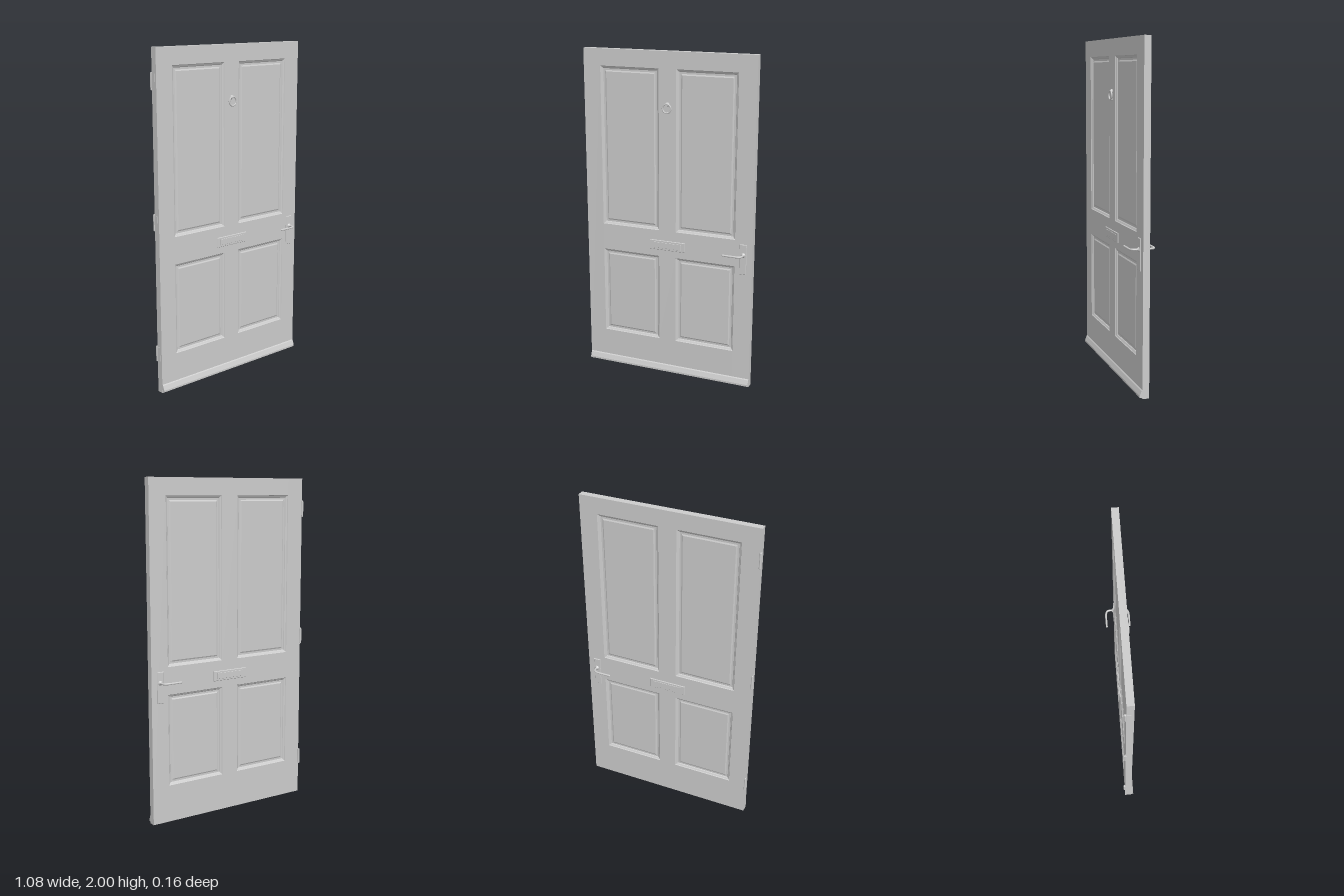
import * as THREE from 'three';

const T = 0.02;            // half thickness of the door
const W = 0.535;           // half width of the door
const mat = new THREE.MeshStandardMaterial({ color: 0xcccccc });
const flat = new THREE.MeshStandardMaterial({ color: 0xcccccc, flatShading: true });

function add(parent, name, geometry, material = flat, x = 0, y = 0, z = 0) {
  const mesh = new THREE.Mesh(geometry, material);
  mesh.name = name;
  mesh.position.set(x, y, z);
  parent.add(mesh);
  return mesh;
}

// Box given by its x and y limits, centred on a depth
function slab(parent, name, x0, x1, y0, y1, depth = 2 * T, z = 0) {
  return add(parent, name, new THREE.BoxGeometry(x1 - x0, y1 - y0, depth), flat, (x0 + x1) / 2, (y0 + y1) / 2, z);
}

// One face of a moulded panel: nested rectangles [inset, z], the last one filled
function panelFace(w, h) {
  const rings = [[0, T], [0.003, T - 0.004], [0.012, T - 0.009], [0.015, T - 0.013], [0.026, T - 0.013], [0.034, T - 0.009]];
  const pos = [], index = [];
  for (const [inset, z] of rings) {
    const a = w / 2 - inset, b = h / 2 - inset;
    pos.push(-a, -b, z, a, -b, z, a, b, z, -a, b, z);
  }
  for (let r = 0; r < rings.length - 1; r++) {
    for (let i = 0; i < 4; i++) {
      const a = r * 4 + i, b = r * 4 + (i + 1) % 4;
      index.push(a, b, b + 4, a, b + 4, a + 4);
    }
  }
  const k = (rings.length - 1) * 4;
  index.push(k, k + 1, k + 2, k, k + 2, k + 3);
  const g = new THREE.BufferGeometry();
  g.setAttribute('position', new THREE.Float32BufferAttribute(pos, 3));
  g.setIndex(index);
  const out = g.toNonIndexed();
  out.computeVertexNormals();
  return out;
}

// Plate with bevelled edges, lying on z = 0
function plate(w, h, depth) {
  const b = depth / 2;
  const s = new THREE.Shape();
  const x = w / 2 - b, y = h / 2 - b;
  s.moveTo(-x, -y).lineTo(x, -y).lineTo(x, y).lineTo(-x, y).closePath();
  const g = new THREE.ExtrudeGeometry(s, { depth: b, bevelThickness: b, bevelSize: b, bevelSegments: 1 });
  return g.translate(0, 0, 0);
}

// Lever handle with back plate, for the front side
function leverHandle() {
  const g = new THREE.Group();
  add(g, 'handlePlate', plate(0.044, 0.185, 0.005), flat, 0.478, 0.817, T);
  const rose = new THREE.LatheGeometry([[0.014, 0], [0.014, 0.003], [0.009, 0.007], [0.006, 0.012]]
    .map(p => new THREE.Vector2(...p)), 20).rotateX(Math.PI / 2);
  add(g, 'handleRose', rose, mat, 0.48, 0.845, T + 0.004);
  const path = new THREE.CatmullRomCurve3([
    [0.48, 0.845, T], [0.481, 0.845, 0.045], [0.476, 0.845, 0.062], [0.458, 0.845, 0.071],
    [0.42, 0.845, 0.0725], [0.37, 0.845, 0.072]].map(p => new THREE.Vector3(...p)));
  add(g, 'handleLever', new THREE.TubeGeometry(path, 32, 0.006, 12), mat);
  add(g, 'handleTip', new THREE.SphereGeometry(0.006, 12, 8), mat, 0.37, 0.845, 0.072);
  return g;
}

// Letter plate with a hinged flap
function letterPlate() {
  const g = new THREE.Group();
  add(g, 'letterPlate', plate(0.23, 0.06, 0.005), flat, 0, 0.84, T);
  add(g, 'letterFlap', plate(0.18, 0.036, 0.002), flat, 0, 0.84, T + 0.005);
  return g;
}

export function createModel() {
  const door = new THREE.Group();
  door.name = 'door';

  // Frame of stiles, rails and centre muntins
  slab(door, 'hingeStile', -W, -0.427, 0, 2);
  slab(door, 'lockStile', 0.427, W, 0, 2);
  for (const [name, y0, y1] of [['bottomRail', 0, 0.222], ['middleRail', 0.768, 0.932], ['topRail', 1.9, 2]]) {
    slab(door, name, -0.427, 0.427, y0, y1);
  }
  slab(door, 'lowerMuntin', -0.054, 0.054, 0.222, 0.768);
  slab(door, 'upperMuntin', -0.054, 0.054, 0.932, 1.9);

  // Four panels, each moulded on both faces
  for (const [name, y0, y1] of [['lowerPanel', 0.222, 0.768], ['upperPanel', 0.932, 1.9]]) {
    const face = panelFace(0.373, y1 - y0);
    for (const x of [-0.2405, 0.2405]) {
      add(door, name + 'Front', face, flat, x, (y0 + y1) / 2);
      add(door, name + 'Back', face, flat, x, (y0 + y1) / 2).rotation.y = Math.PI;
    }
  }

  // Handles and letter plates; the back handle keeps the same x
  for (const [side, turn] of [['front', 0], ['back', Math.PI]]) {
    const letter = letterPlate();
    letter.name = side + 'LetterPlate';
    letter.rotation.y = turn;
    door.add(letter);

    const handle = leverHandle();
    handle.name = side + 'Handle';
    if (turn) handle.scale.z = -1;
    door.add(handle);
  }

  // Ring knocker on a small boss
  const knocker = new THREE.Group();
  knocker.name = 'knocker';
  door.add(knocker);
  add(knocker, 'knockerBoss', new THREE.CylinderGeometry(0.009, 0.013, 0.012, 20).rotateX(Math.PI / 2), mat, 0, 1.697, T + 0.006);
  add(knocker, 'knockerRing', new THREE.TorusGeometry(0.026, 0.0045, 10, 32), mat, 0, 1.674, T + 0.011);
  add(knocker, 'knockerStrike', new THREE.CylinderGeometry(0.006, 0.006, 0.008, 16).rotateX(Math.PI / 2), mat, 0, 1.648, T + 0.004);

  // Sloping weather bar along the foot
  const bar = new THREE.Shape();
  bar.moveTo(-T + 0.001, 0.008).lineTo(-T, 0.052).lineTo(-0.025, 0.047).lineTo(-0.036, 0.02).lineTo(-0.036, 0.01).closePath();
  const barGeometry = new THREE.ExtrudeGeometry(bar, { depth: 2 * W - 0.004, bevelEnabled: false });
  barGeometry.rotateY(Math.PI / 2).translate(-W + 0.002, 0, 0);
  add(door, 'weatherBar', barGeometry);

  // Three hinges on the back edge
  for (const y of [0.237, 1.027, 1.817]) {
    const hinge = new THREE.Group();
    hinge.name = 'hinge';
    hinge.position.set(-W, y, 0);
    door.add(hinge);
    add(hinge, 'hingeBarrel', new THREE.CylinderGeometry(0.006, 0.006, 0.09, 16), mat, 0, 0, -0.025);
    for (const s of [-1, 1]) {
      add(hinge, 'hingeFinial', new THREE.SphereGeometry(0.005, 12, 8), mat, 0, s * 0.045, -0.025);
    }
    add(hinge, 'hingeLeaf', new THREE.BoxGeometry(0.003, 0.085, 0.03), flat, 0, 0, -0.01);
  }
  return door;
}
